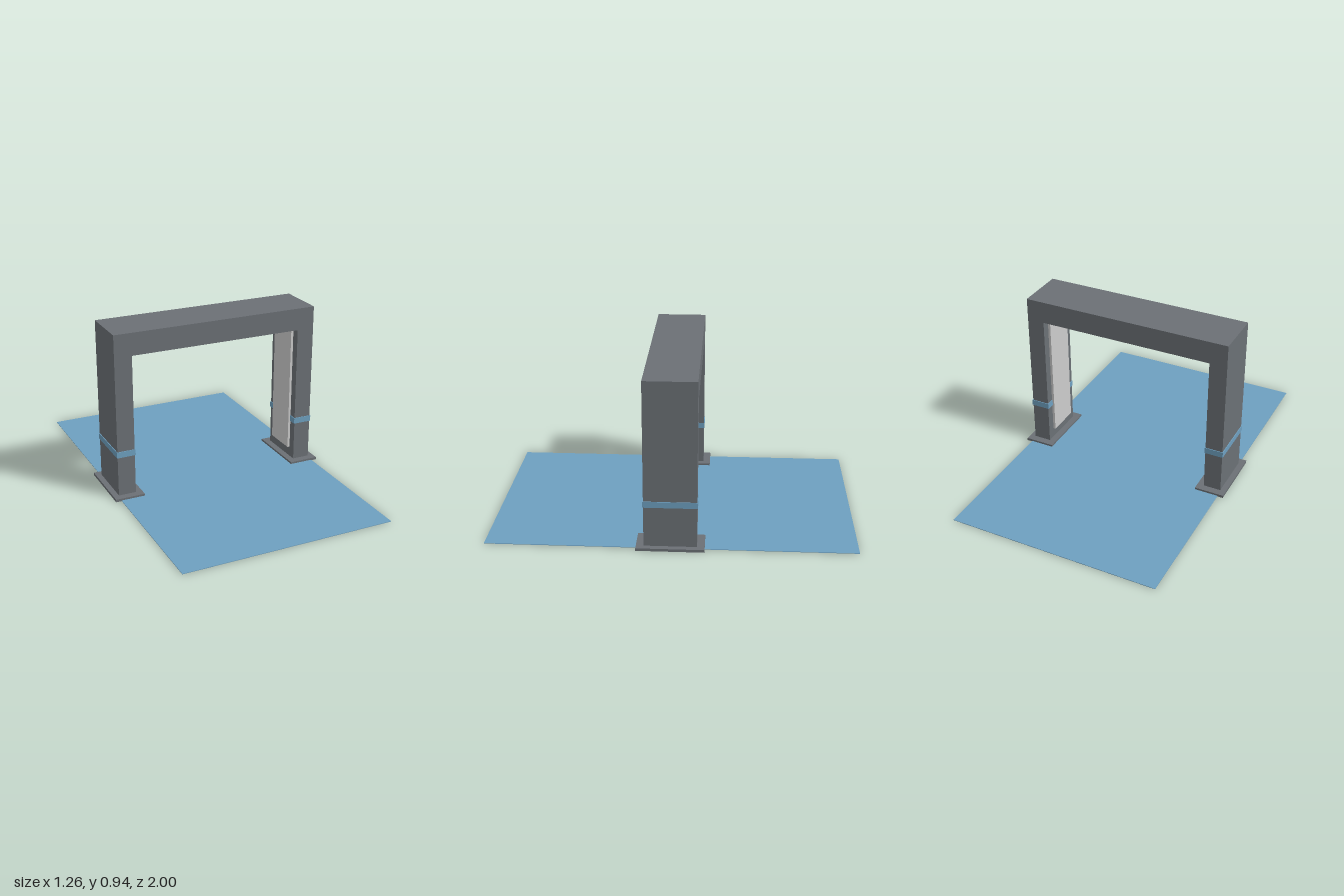
import * as THREE from 'three';

const mat = (color) => new THREE.MeshStandardMaterial({ color });

export function createModel() {
  const model = new THREE.Group();
  const steel = mat(0x6b7075), blue = mat(0x6ea0c0), pale = mat(0xe8e8e8);

  // box given by its min and max corners
  const box = (name, material, [x0, y0, z0], [x1, y1, z1]) => {
    const mesh = new THREE.Mesh(new THREE.BoxGeometry(x1 - x0, y1 - y0, z1 - z0), material);
    mesh.position.set((x0 + x1) / 2, (y0 + y1) / 2, (z0 + z1) / 2);
    mesh.name = name;
    model.add(mesh);
  };

  // walkway strip on the ground
  box('floorMat', blue, [-0.6, 0.001, -1], [0.6, 0.004, 1]);

  // portal frame: two columns and a beam in one outline
  const outline = new THREE.Shape([
    [-0.6, 0.01], [-0.5, 0.01], [-0.5, 0.815], [0.5, 0.815],
    [0.5, 0.01], [0.6, 0.01], [0.6, 0.942], [-0.6, 0.942],
  ].map(([x, y]) => new THREE.Vector2(x, y)));
  const frameGeometry = new THREE.ExtrudeGeometry(outline, { depth: 0.284, bevelEnabled: false });
  frameGeometry.translate(0, 0, -0.142);
  const frame = new THREE.Mesh(frameGeometry, steel);
  frame.name = 'portalFrame';
  model.add(frame);

  // foot plate, coloured band and inner panel on each column
  for (const [side, s] of [['left', 1], ['right', -1]]) {
    const sideBox = (name, material, x0, x1, y0, y1, z) =>
      box(side + name, material, [Math.min(s * x0, s * x1), y0, -z], [Math.max(s * x0, s * x1), y1, z]);
    sideBox('FootPlate', steel, 0.463, 0.632, 0, 0.015, 0.183);
    sideBox('Band', blue, 0.496, 0.604, 0.242, 0.276, 0.146);
    sideBox('SensorPanel', pale, 0.486, 0.502, 0.073, 0.8, 0.095);
  }

  // panel under the beam
  box('topSensorPanel', pale, [-0.485, 0.803, -0.095], [0.485, 0.817, 0.095]);

  return model;
}
